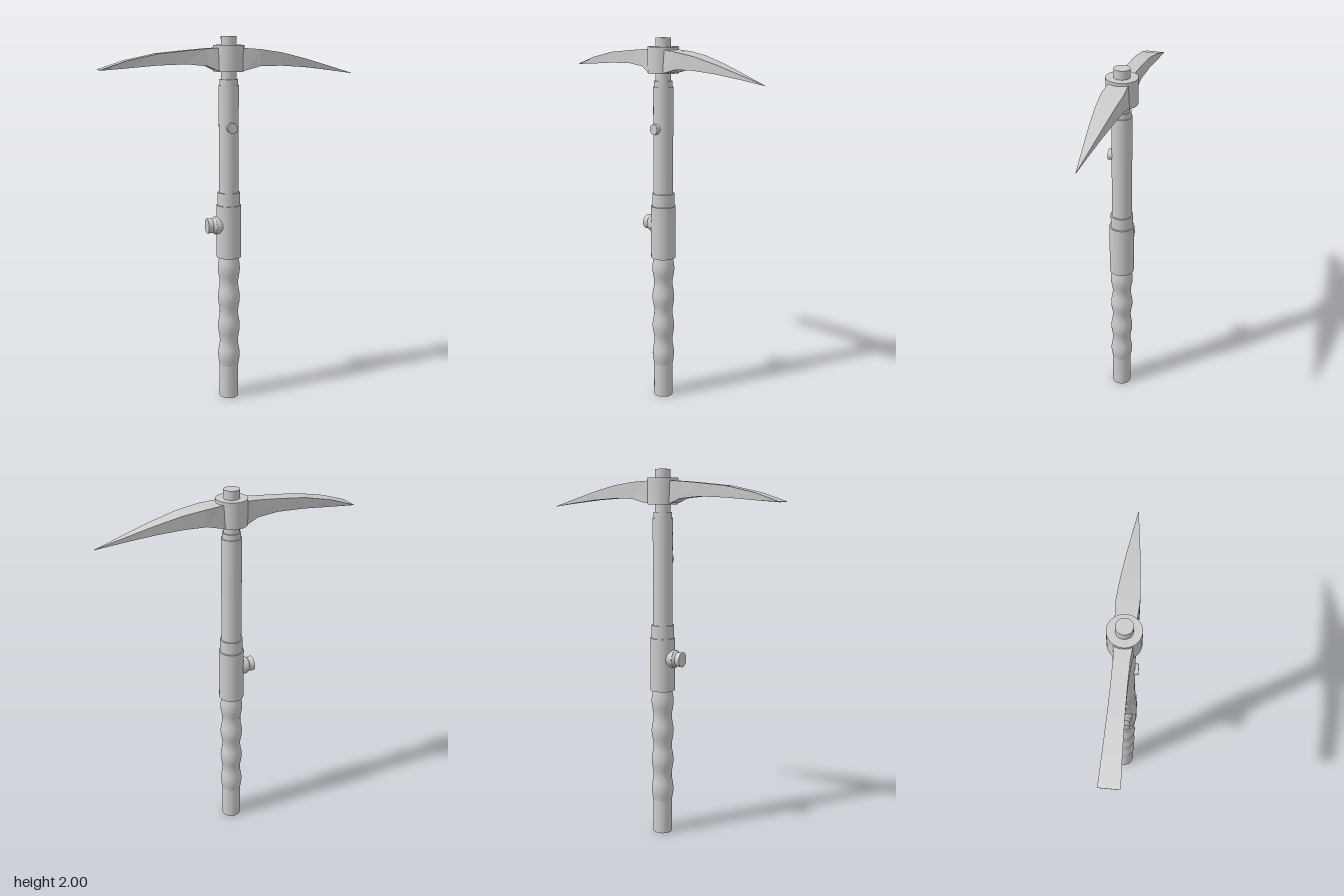
import * as THREE from 'three';

const material = new THREE.MeshStandardMaterial({ color: 0xcccccc });
const bladeMaterial = new THREE.MeshStandardMaterial({ color: 0xcccccc, flatShading: true });
const AXIS = -0.015; // x of the shaft's centre line

function addMesh(group, name, geometry, mat = material) {
  const mesh = new THREE.Mesh(geometry, mat);
  mesh.name = name;
  group.add(mesh);
  return mesh;
}

// Upright cylinder on the shaft axis between two heights
function addRod(group, name, radius, y0, y1) {
  const rod = addMesh(group, name, new THREE.CylinderGeometry(radius, radius, y1 - y0, 32));
  rod.position.set(AXIS, (y0 + y1) / 2, 0);
}

// Four-sided loft; each section is [x, yTop, yBottom, halfWidthTop, halfWidthBottom], x ascending
function loft(sections) {
  const rings = sections.map(([x, yt, yb, wt, wb]) => [[x, yt, wt], [x, yt, -wt], [x, yb, -wb], [x, yb, wb]]);
  const positions = [];
  const quad = (a, b, c, d) => positions.push(...a, ...b, ...c, ...a, ...c, ...d);
  for (let i = 0; i < rings.length - 1; i++) {
    for (let j = 0; j < 4; j++) {
      const k = (j + 1) % 4;
      quad(rings[i][j], rings[i + 1][j], rings[i + 1][k], rings[i][k]);
    }
  }
  const last = rings[rings.length - 1];
  quad(...rings[0]);
  quad(last[3], last[2], last[1], last[0]);
  const geometry = new THREE.BufferGeometry();
  geometry.setAttribute('position', new THREE.Float32BufferAttribute(positions, 3));
  geometry.computeVertexNormals();
  return geometry;
}

export function createModel() {
  const group = new THREE.Group();

  // Shaft, from the foot to the top stud
  addRod(group, 'foot', 0.053, 0, 0.19);
  addRod(group, 'sleeve', 0.067, 0.82, 1.11);
  addRod(group, 'sleeveCollar', 0.06, 1.11, 1.18);
  addRod(group, 'upperShaft', 0.053, 1.18, 1.75);
  addRod(group, 'neckRing', 0.048, 1.75, 1.78);
  addRod(group, 'topStud', 0.041, 1.78, 2);
  addRod(group, 'headHub', 0.081, 1.82, 1.955);

  // Grip with finger waves
  const profile = [new THREE.Vector2(0, 0.18)];
  for (let i = 0; i <= 48; i++) {
    const y = 0.18 + (0.64 * i) / 48;
    profile.push(new THREE.Vector2(0.056 + 0.005 * Math.cos(((y - 0.25) / 0.169) * Math.PI * 2), y));
  }
  addMesh(group, 'grip', new THREE.LatheGeometry(profile, 32)).position.x = AXIS;

  // Side knob: flared base, waist and round head
  const knob = new THREE.Group();
  knob.name = 'sideKnob';
  knob.position.set(AXIS, 1, 0);
  knob.rotation.z = Math.PI / 2;
  const knobParts = [['knobBase', 0.048, 0.048, 0.04, 0.082], ['knobWaist', 0.038, 0.046, 0.082, 0.095],
    ['knobHead', 0.041, 0.038, 0.095, 0.124]];
  for (const [name, rTop, rBottom, y0, y1] of knobParts) {
    addMesh(knob, name, new THREE.CylinderGeometry(rTop, rBottom, y1 - y0, 24)).position.y = (y0 + y1) / 2;
  }
  group.add(knob);

  // Front button
  const button = addMesh(group, 'frontButton', new THREE.CylinderGeometry(0.028, 0.028, 0.03, 24));
  button.rotation.x = Math.PI / 2;
  button.position.set(AXIS, 1.53, 0.054);

  // Pointed pick on the left, chisel on the right
  addMesh(group, 'pickBlade', loft([
    [AXIS, 1.945, 1.825, 0.046, 0.054],
    [0.055, 1.94, 1.825, 0.05, 0.056],
    [0.14, 1.934, 1.847, 0.055, 0.056],
    [0.26, 1.917, 1.848, 0.047, 0.048],
    [0.4, 1.884, 1.838, 0.034, 0.034],
    [0.55, 1.842, 1.82, 0.017, 0.017],
    [0.69, 1.802, 1.8, 0.001, 0.001],
  ]), bladeMaterial);
  addMesh(group, 'chiselBlade', loft([
    [-0.693, 1.839, 1.836, 0.05, 0.046],
    [-0.56, 1.882, 1.845, 0.044, 0.042],
    [-0.4, 1.915, 1.857, 0.039, 0.038],
    [-0.25, 1.929, 1.861, 0.037, 0.037],
    [-0.14, 1.938, 1.85, 0.038, 0.041],
    [-0.085, 1.941, 1.825, 0.043, 0.047],
    [AXIS, 1.945, 1.825, 0.046, 0.054],
  ]), bladeMaterial);

  return group;
}
